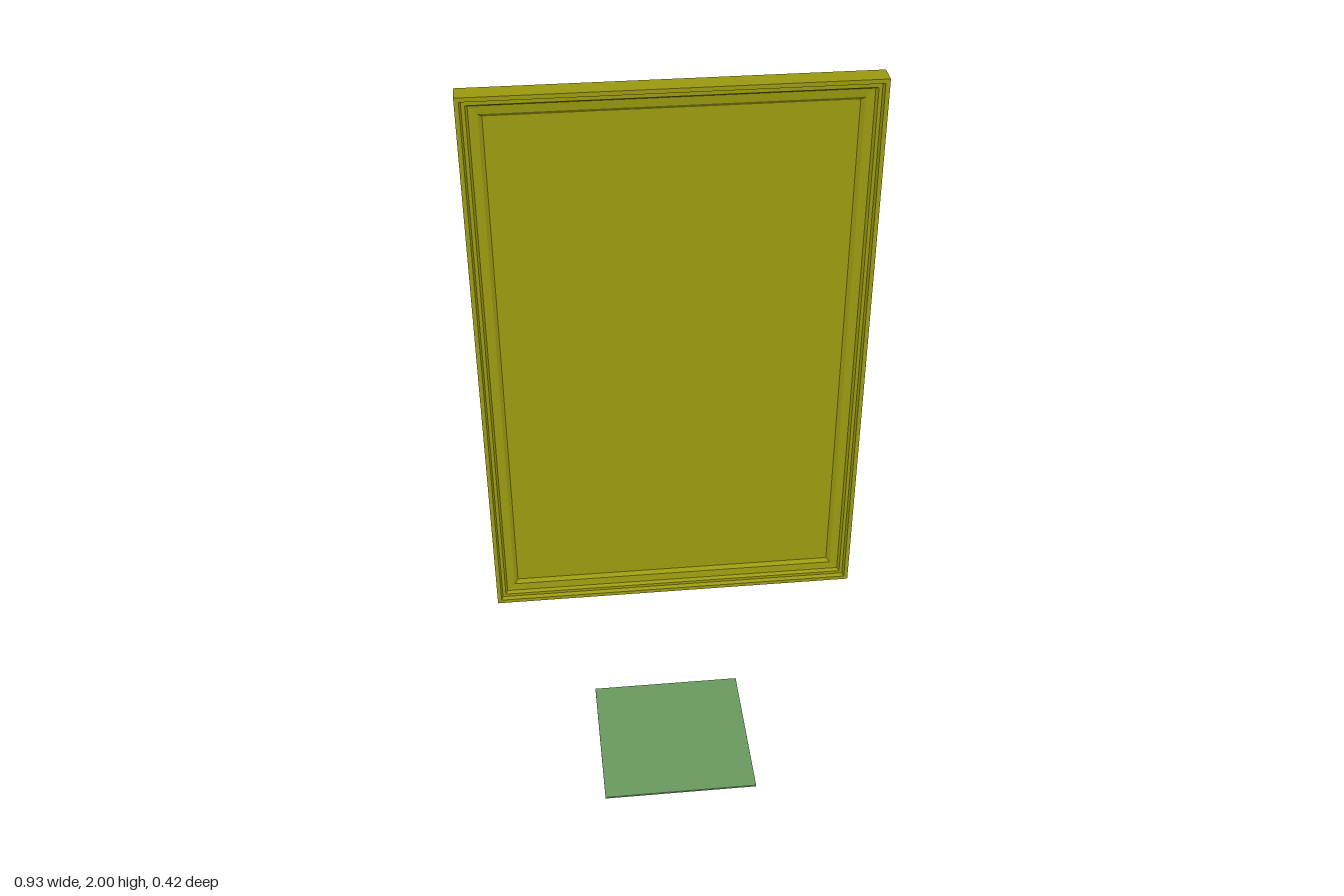
import * as THREE from 'three';

const material = (color) => new THREE.MeshStandardMaterial({ color, flatShading: true });

// Rectangle outline, counter-clockwise seen from the front, shrunk by an inset
function ring(halfW, halfH, inset, z) {
  const w = halfW - inset, h = halfH - inset;
  return [[-w, -h, z], [w, -h, z], [w, h, z], [-w, h, z]];
}

// Flat-sided solid lofted through mitred rectangles from back to front
function mitredPanel(halfW, halfH, profile) {
  const rings = profile.map(([inset, z]) => ring(halfW, halfH, inset, z));
  const pos = [];
  const quad = (a, b, c, d) => [a, b, c, a, c, d].forEach((p) => pos.push(...p));
  for (let r = 0; r < rings.length - 1; r++) {
    for (let i = 0; i < 4; i++) {
      const j = (i + 1) % 4;
      quad(rings[r][i], rings[r][j], rings[r + 1][j], rings[r + 1][i]);
    }
  }
  quad(...rings[0].slice().reverse());
  quad(...rings[rings.length - 1]);
  const geometry = new THREE.BufferGeometry();
  geometry.setAttribute('position', new THREE.Float32BufferAttribute(pos, 3));
  geometry.computeVertexNormals();
  return geometry;
}

export function createModel() {
  const group = new THREE.Group();

  // Framed panel: stepped moulding running down to a recessed field
  const profile = [
    [0, -0.023], [0, 0.027], [0.01, 0.027], [0.014, 0.018], [0.022, 0.018],
    [0.027, 0.01], [0.047, 0.008], [0.056, 0],
  ];
  const panel = new THREE.Mesh(mitredPanel(0.464, 0.7075, profile), material(0x9a9a0f));
  panel.name = 'framedPanel';
  panel.position.y = 1.2925;
  group.add(panel);

  // Thin square plate on the floor
  const plate = new THREE.Mesh(new THREE.BoxGeometry(0.42, 0.005, 0.42), material(0x6a9a5e));
  plate.name = 'floorPlate';
  plate.position.y = 0.0025;
  group.add(plate);

  return group;
}
